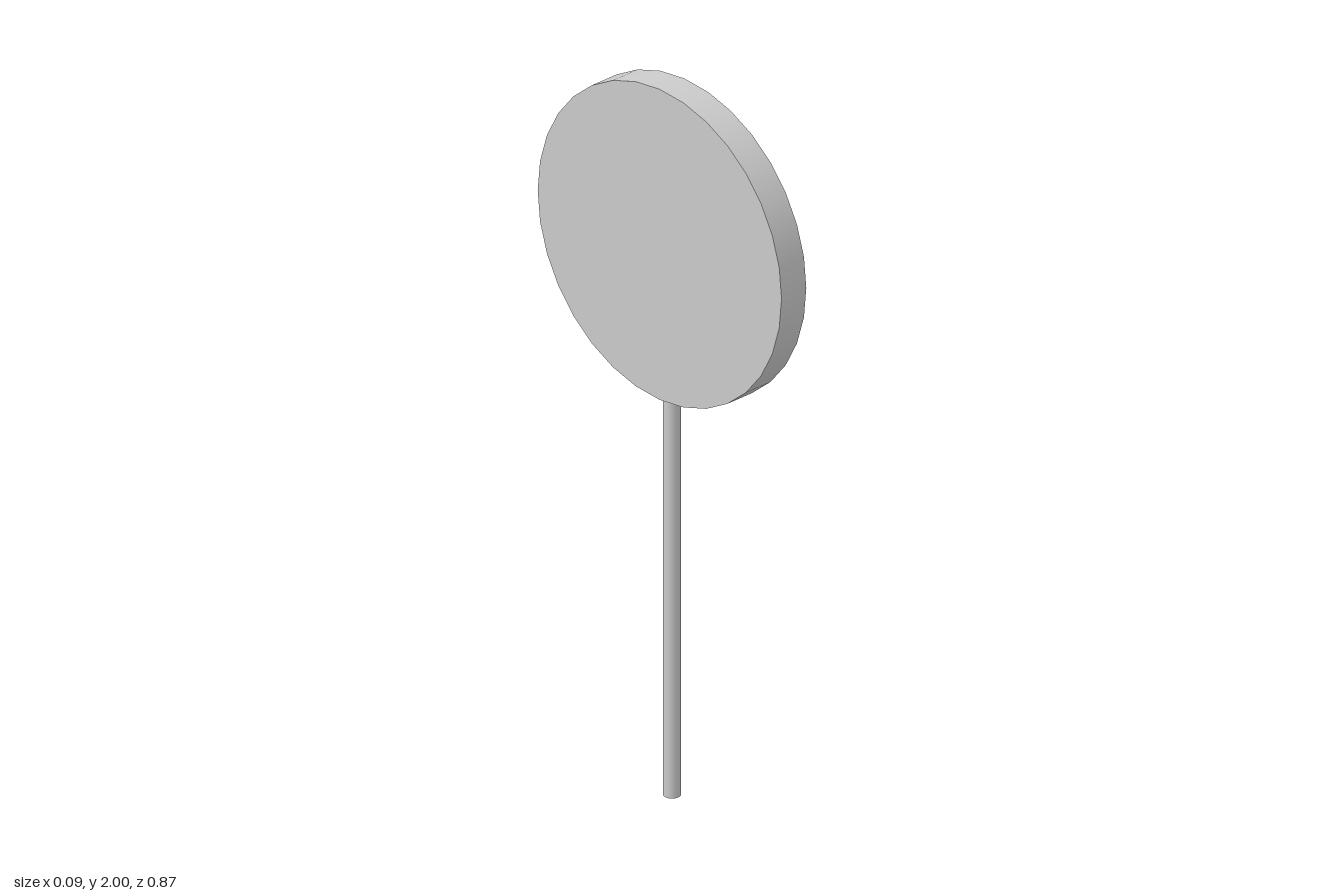
import * as THREE from 'three';

const RADIUS = 0.437;
const THICKNESS = 0.088;
const CENTER_Y = 2 - RADIUS;
const STICK_RADIUS = 0.023;
const STICK_HEIGHT = 1.135;

export function createModel() {
  const model = new THREE.Group();
  model.name = 'discOnStick';
  const material = new THREE.MeshStandardMaterial({ color: 0xcccccc });

  // Round flat head, its faces turned to the sides
  const disc = new THREE.Mesh(new THREE.CylinderGeometry(RADIUS, RADIUS, THICKNESS, 32), material);
  disc.name = 'disc';
  disc.rotation.z = Math.PI / 2;
  disc.position.y = CENTER_Y;

  // Thin stick, its top just inside the rim of the head
  const stick = new THREE.Mesh(new THREE.CylinderGeometry(STICK_RADIUS, STICK_RADIUS, STICK_HEIGHT, 16), material);
  stick.name = 'stick';
  stick.position.y = STICK_HEIGHT / 2;

  model.add(disc, stick);
  return model;
}
